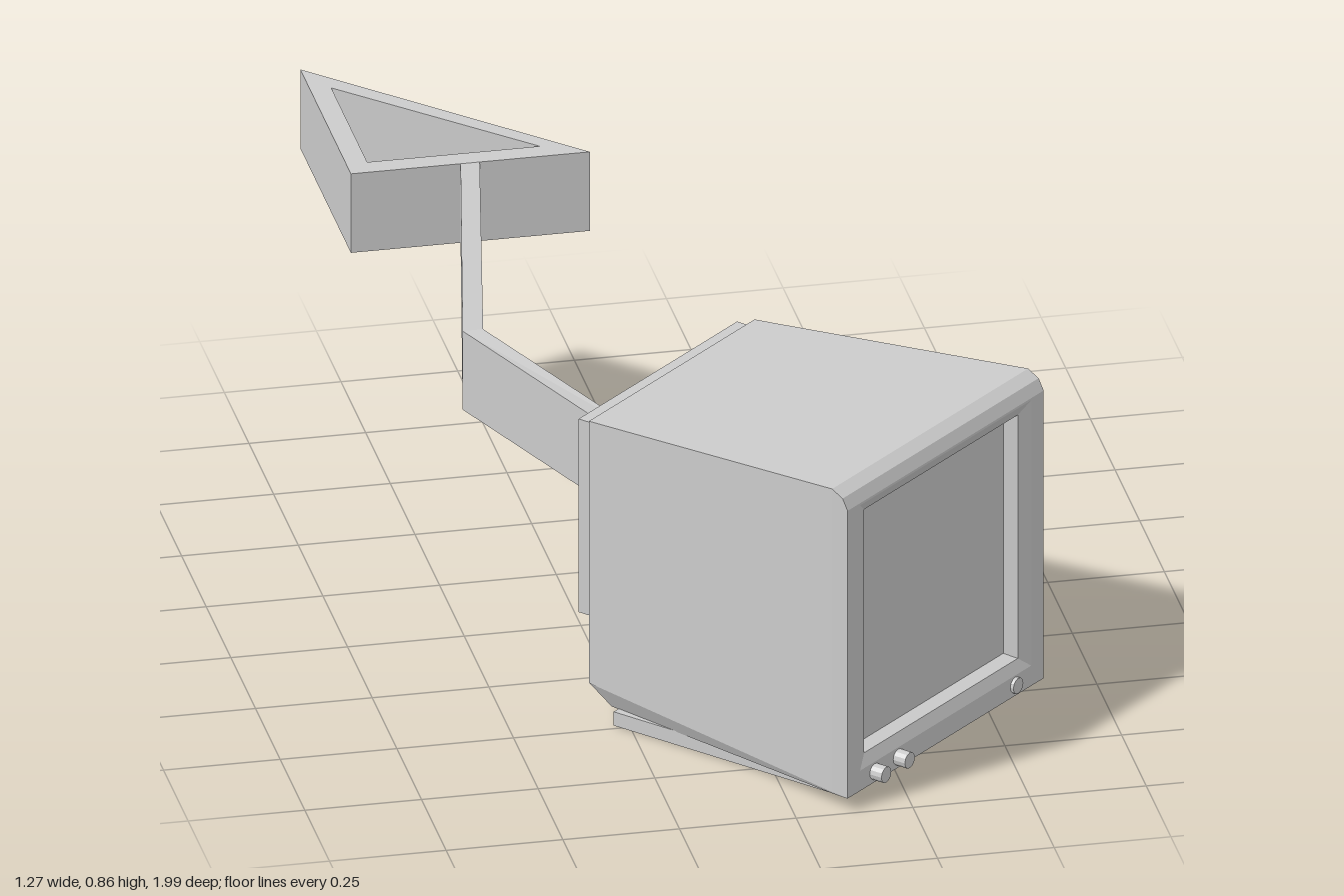
import * as THREE from 'three';

const material = new THREE.MeshStandardMaterial({ color: 0xcccccc, flatShading: true, side: THREE.DoubleSide });

function add(parent, name, geometry, x = 0, y = 0, z = 0) {
  const mesh = new THREE.Mesh(geometry, material);
  mesh.name = name;
  mesh.position.set(x, y, z);
  parent.add(mesh);
  return mesh;
}

// Joins cross-sections (ordered front to back, counter-clockwise from the front) with flat faces
function loft(sections, capFront = true, capBack = true) {
  const pos = [];
  const tri = (...pts) => pts.forEach(p => pos.push(...p));
  for (let s = 0; s < sections.length - 1; s++) {
    const p = sections[s], q = sections[s + 1];
    for (let i = 0; i < p.length; i++) {
      const j = (i + 1) % p.length;
      tri(p[i], q[i], q[j]);
      tri(p[i], q[j], p[j]);
    }
  }
  const first = sections[0], last = sections[sections.length - 1];
  for (let i = 1; i < first.length - 1; i++) {
    if (capFront) tri(first[0], first[i], first[i + 1]);
    if (capBack) tri(last[0], last[i + 1], last[i]);
  }
  const g = new THREE.BufferGeometry();
  g.setAttribute('position', new THREE.Float32BufferAttribute(pos, 3));
  g.computeVertexNormals();
  return g;
}

const rect = (cx, half, y0, y1, z) =>
  [[cx - half, y0, z], [cx + half, y0, z], [cx + half, y1, z], [cx - half, y1, z]];

// Casing section: bottom half-width and height, side half-width, lower side height, top
const casing = (z, hb, yb, hs, ys, yt) =>
  [[-hb, yb, z], [hb, yb, z], [hs, ys, z], [hs, yt, z], [-hs, yt, z], [-hs, ys, z]];

const outline = pts => pts.map(([x, y]) => new THREE.Vector2(x, y));

function createMonitor() {
  const g = new THREE.Group();
  g.name = 'monitor';

  // Tapering casing with a bevelled top front edge
  add(g, 'casing', loft([
    casing(0, 0.355, 0.03, 0.355, 0.031, 0.70),
    casing(-0.013, 0.355, 0.03, 0.355, 0.032, 0.725),
    casing(-0.04, 0.353, 0.03, 0.355, 0.034, 0.74),
    casing(-0.66, 0.28, 0.03, 0.3035, 0.077, 0.693),
    casing(-0.704, 0.298, 0.079, 0.30, 0.08, 0.69),
  ], false, true));

  // Front frame, sloped surround and recessed screen
  const face = new THREE.Shape(outline([[-0.355, 0.03], [0.355, 0.03], [0.355, 0.70], [-0.355, 0.70]]));
  face.holes.push(new THREE.Path(outline(rect(0, 0.31, 0.077, 0.695, 0))));
  add(g, 'frontFrame', new THREE.ShapeGeometry(face));
  add(g, 'screenSurround', loft([
    rect(0, 0.31, 0.077, 0.695, 0).reverse(),
    rect(0, 0.278, 0.103, 0.67, -0.012).reverse(),
    rect(0, 0.272, 0.108, 0.665, -0.045).reverse(),
  ], false, false));
  add(g, 'screen', new THREE.PlaneGeometry(0.544, 0.557), 0, 0.3865, -0.045);

  // Two knobs and a flat button
  for (const [name, x, depth] of [['knob', -0.257, 0.03], ['knob', -0.172, 0.03], ['powerButton', 0.252, 0.008]]) {
    add(g, name, new THREE.CylinderGeometry(0.018, 0.018, depth, 12).rotateX(Math.PI / 2), x, 0.055, depth / 2);
  }

  // Foot plate, rear plate, lower rear strip
  add(g, 'footPlate', new THREE.BoxGeometry(0.604, 0.032, 0.594), 0, 0.016, -0.342);
  add(g, 'rearPlate', new THREE.BoxGeometry(0.574, 0.45, 0.04), 0, 0.455, -0.72);
  add(g, 'rearStrip', new THREE.BoxGeometry(0.55, 0.085, 0.02), 0, 0.16, -0.708);

  // Tapered bracket that meets the arm
  add(g, 'armBracket', loft([
    rect(0.016, 0.174, 0.235, 0.53, -0.738),
    rect(0.022, 0.024, 0.31, 0.49, -0.8),
  ]));

  g.position.set(0.373, 0, 0.75);
  g.rotation.y = THREE.MathUtils.degToRad(42.7);
  return g;
}

export function createModel() {
  const model = new THREE.Group();
  model.name = 'wallMountedMonitor';
  model.add(createMonitor());

  // Two-part arm: right and left edge of each joint, with bottom height
  const joint = (x0, z0, x1, z1, y) =>
    [[x0, y, z0], [x1, y, z1], [x1, y + 0.183, z1], [x0, y + 0.183, z0]];
  const start = joint(-0.172, 0.16, -0.137, 0.135, 0.31);
  const elbow = joint(-0.457, -0.22, -0.413, -0.22, 0.419);
  const end = joint(-0.405, -0.487, -0.364, -0.487, 0.677);
  add(model, 'lowerArm', loft([start, elbow]));
  add(model, 'upperArm', loft([elbow, end]));

  // Hollow triangular wall bracket
  const tri = new THREE.Shape(outline([[-0.64, 0.487], [-0.128, 0.487], [-0.64, 1]]));
  tri.holes.push(new THREE.Path(outline([[-0.595, 0.535], [-0.595, 0.90], [-0.225, 0.535]])));
  const bracket = new THREE.ExtrudeGeometry(tri, { depth: 0.184, bevelEnabled: false });
  add(model, 'wallBracket', bracket.rotateX(-Math.PI / 2), 0, 0.676, 0);

  return model;
}
